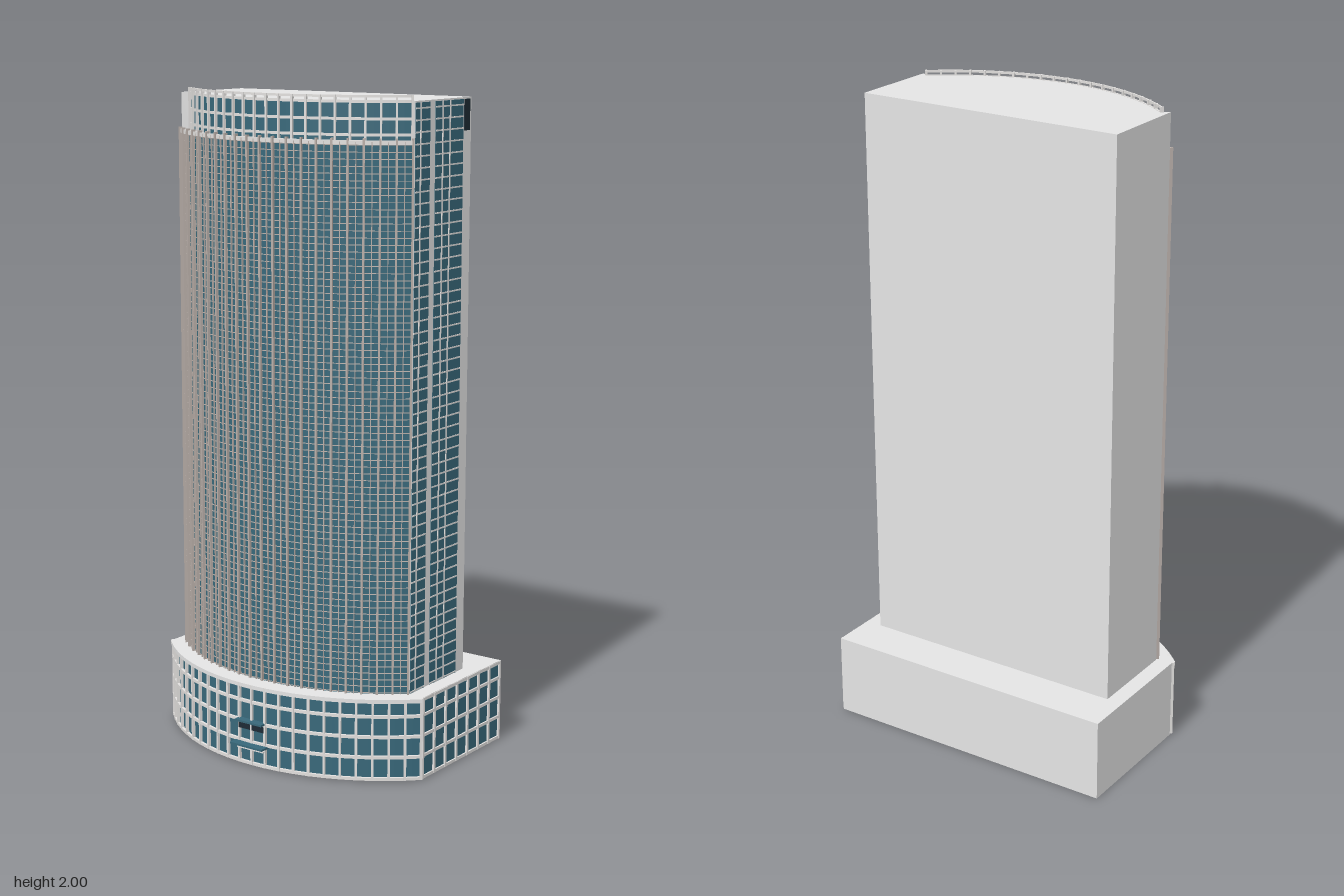
import * as THREE from 'three';
import { mergeGeometries } from 'three/addons/utils/BufferGeometryUtils.js';

const mat = (name, color) => Object.assign(new THREE.MeshStandardMaterial({ color }), { name });

// Plan arc bulging to +z through (-h, zEnd), (0, zPeak), (h, zEnd)
function makeArc(h, zEnd, zPeak) {
  const s = zPeak - zEnd, r = (h * h + s * s) / (2 * s);
  return { r, c: zPeak - r, half: Math.asin(h / r) };
}
function arcPoints(a, offset = 0, n = 40) {
  const pts = [];
  for (let i = 0; i <= n; i++) {
    const t = a.half * (1 - 2 * i / n);
    pts.push(new THREE.Vector2((a.r + offset) * Math.sin(t), a.c + (a.r + offset) * Math.cos(t)));
  }
  return pts;
}
// Raise a plan outline (x, z) from y0 to y1
function prism(points, y0, y1) {
  return new THREE.ExtrudeGeometry(new THREE.Shape(points), { depth: y1 - y0, bevelEnabled: false })
    .rotateX(Math.PI / 2).translate(0, y1, 0);
}
// Curved wall or rail between two offsets from an arc
const band = (a, inner, outer, y0, y1, n = 40) =>
  prism([...arcPoints(a, outer, n), ...arcPoints(a, inner, n).reverse()], y0, y1);

function box(x0, x1, y0, y1, z0, z1) {
  return new THREE.BoxGeometry(x1 - x0, y1 - y0, z1 - z0)
    .translate((x0 + x1) / 2, (y0 + y1) / 2, (z0 + z1) / 2).toNonIndexed();
}
// Upright fins spread evenly along an arc
function fins(a, count, width, inner, outer, y0, y1) {
  const out = [];
  for (let i = 0; i <= count; i++) {
    const t = a.half * (2 * i / count - 1);
    out.push(box(-width / 2, width / 2, y0, y1, a.r + inner, a.r + outer).rotateY(t).translate(0, 0, a.c));
  }
  return out;
}

export function createModel() {
  const concrete = mat('concrete', 0xe4e4e4);
  const glass = mat('teal glass', 0x38687a);
  const frame = mat('pale frame', 0xe2e0de);
  const fin = mat('warm grey fin', 0xb9afa9);
  const dark = mat('dark recess', 0x1d2a34);
  const model = new THREE.Group();
  const add = (name, material, ...geos) => {
    const mesh = new THREE.Mesh(geos.length > 1 ? mergeGeometries(geos) : geos[0], material);
    mesh.name = name;
    model.add(mesh);
  };
  const P = (x, z) => new THREE.Vector2(x, z);

  // Podium: hollow, open underneath, with a curved glass front
  const baseArc = makeArc(0.472, 0.1, 0.3);
  const slabArc = makeArc(0.48, 0.11, 0.309);
  add('podiumRoof', concrete, prism([P(-0.475, 0.095), P(-0.475, -0.338), P(0.475, -0.338), P(0.475, 0.095),
    ...arcPoints(slabArc)], 0.243, 0.255));
  add('podiumWalls', concrete,
    box(-0.475, 0.475, 0, 0.245, -0.338, -0.332),
    box(-0.475, -0.469, 0, 0.245, -0.332, 0.1),
    box(0.463, 0.468, 0, 0.245, -0.332, 0.1));
  add('podiumFrontGlass', glass, band(baseArc, -0.003, 0, 0, 0.245));
  add('podiumFrontLining', dark, band(baseArc, -0.006, -0.003, 0, 0.245));
  add('podiumSideGlass', glass, box(0.468, 0.472, 0, 0.245, -0.335, 0.1));
  const levels = [0.003, 0.07, 0.133, 0.196, 0.245];
  add('podiumFrontRails', frame, ...levels.map(y => band(baseArc, 0, 0.008, y, y + 0.009)));
  add('podiumFrontFins', frame, ...fins(baseArc, 22, 0.007, 0, 0.009, 0.003, 0.255));
  const sideFrames = levels.map(y => box(0.472, 0.477, y, y + 0.009, -0.336, 0.1));
  for (let i = 0; i <= 7; i++) {
    const z = -0.332 + i * 0.0609;
    sideFrames.push(box(0.472, 0.478, 0.003, 0.254, z - 0.004, z + 0.004));
  }
  add('podiumSideFrames', frame, ...sideFrames);

  // Entrance canopies
  add('lowerCanopy', glass, box(-0.06, 0.06, 0.066, 0.072, 0.295, 0.335));
  add('lowerCanopyTrim', frame, box(-0.05, 0.05, 0.052, 0.058, 0.295, 0.314));
  add('upperCanopy', glass, box(-0.05, 0.05, 0.138, 0.144, 0.295, 0.325));
  add('entranceOpenings', dark, ...[-1, 1].map(s => box(s * 0.025 - 0.022, s * 0.025 + 0.022, 0.114, 0.132, 0.295, 0.31)));

  // Tower body, stepped back at the crown
  const frontArc = makeArc(0.415, 0.088, 0.24);
  const crownArc = makeArc(0.4, 0.07, 0.215);
  const footprint = arc => [P(-0.424, 0.09), P(-0.424, -0.2), P(0.424, -0.2), P(0.424, 0.09), ...arcPoints(arc)];
  add('towerBody', concrete, prism(footprint(frontArc), 0.25, 1.86));
  add('towerCrown', concrete, prism(footprint(crownArc), 1.86, 1.985));

  // Curved tower front: glass screen with a dark gap behind its parapet
  add('parapetGap', dark, band(frontArc, 0, 0.005, 0.255, 1.861));
  add('towerFrontGlass', glass, band(frontArc, 0.005, 0.009, 0.255, 1.872));
  const frontRails = [], sideRails = [];
  const fineRails = 80, railStep = 1.605 / fineRails;
  for (let i = 0; i <= fineRails; i++) {
    const y = 0.257 + i * railStep;
    frontRails.push(band(frontArc, 0.008, 0.0115, y, y + 0.0022, 24));
  }
  add('towerFrontRails', fin, ...frontRails);
  add('towerFrontFins', fin, ...fins(frontArc, 20, 0.006, 0.007, 0.018, 0.255, 1.882));
  add('towerThinFins', fin, ...fins(frontArc, 40, 0.0025, 0.007, 0.014, 0.255, 1.872));
  add('parapetRail', frame, band(frontArc, 0.005, 0.014, 1.864, 1.876));

  // Crown glazing
  add('crownGlass', glass, band(crownArc, 0, 0.003, 1.861, 1.98));
  add('crownRails', frame, ...[1.885, 1.93, 1.978].map(y => band(crownArc, 0, 0.006, y, y + 0.008)),
    band(crownArc, 0.004, 0.008, 1.993, 2));
  add('crownFins', frame, ...fins(crownArc, 20, 0.006, 0, 0.011, 1.861, 2));

  // Glazed left flank: two window strips split by a concrete pier
  const strips = [[-0.157, -0.012], [0.016, 0.09]];
  add('flankGlass', glass, ...strips.map(([a, b]) => box(0.424, 0.4255, 0.255, 1.98, a, b)));
  const floorHeight = 1.605 / 48;
  for (let i = 0; i <= 51; i++) {
    const y = 0.257 + i * floorHeight;
    for (const [a, b] of strips) sideRails.push(box(0.4255, 0.427, y, y + 0.0045, a, b));
  }
  for (const z of [-0.086, -0.048, 0.065])
    sideRails.push(box(0.4255, 0.4275, 0.255, 1.98, z - 0.0025, z + 0.0025));
  add('flankFrames', frame, ...sideRails);
  add('flankVent', dark, box(0.424, 0.427, 1.89, 1.98, -0.19, -0.162));
  return model;
}
